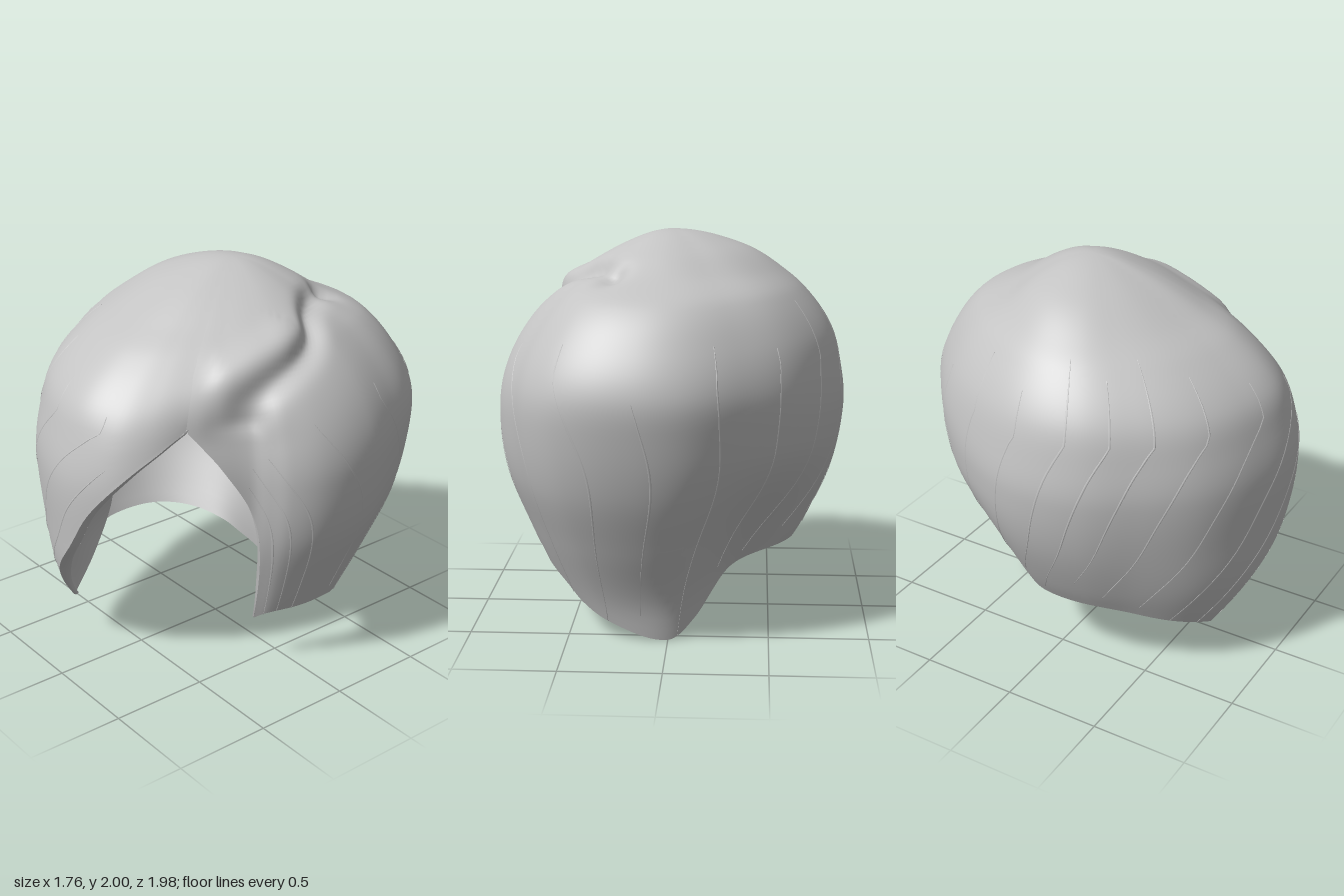
import * as THREE from 'three';

const { smoothstep, lerp } = THREE.MathUtils;

// Smooth 1D curve through [x, value] points (x ascending)
function curve(pts) {
  const slope = (i) => {
    const a = pts[Math.max(0, i - 1)], b = pts[Math.min(pts.length - 1, i + 1)];
    return (b[1] - a[1]) / (b[0] - a[0]);
  };
  return (x) => {
    if (x <= pts[0][0]) return pts[0][1];
    let i = 0;
    while (i < pts.length - 1 && x > pts[i + 1][0]) i++;
    if (i >= pts.length - 1) return pts[pts.length - 1][1];
    const h = pts[i + 1][0] - pts[i][0], t = (x - pts[i][0]) / h, t2 = t * t, t3 = t2 * t;
    return (2 * t3 - 3 * t2 + 1) * pts[i][1] + (t3 - 2 * t2 + t) * h * slope(i)
      + (3 * t2 - 2 * t3) * pts[i + 1][1] + (t3 - t2) * h * slope(i + 1);
  };
}
const bump = (s, w) => Math.exp(-((s / w) ** 2));

// Silhouette profiles: relative radius at each height
const levels = [2, 1.96, 1.9, 1.8, 1.7, 1.5, 1.3, 1.1, 0.8, 0.5, 0.2, 0];
const depth = (y) => Math.sqrt(Math.max(0, 2 - y));
const profile = (r) => curve(r.map((v, i) => [depth(levels[i]), v]));
const front = profile([0, 0.2, 0.34, 0.52, 0.69, 0.89, 0.965, 1, 0.985, 0.95, 0.84, 0.7]);
const left = profile([0, 0.2, 0.345, 0.53, 0.67, 0.86, 0.965, 1, 0.965, 0.84, 0.69, 0.55]);
const back = profile([0, 0.2, 0.33, 0.51, 0.735, 0.92, 1, 0.98, 0.9, 0.77, 0.63, 0.58]);
const right = profile([0, 0.28, 0.46, 0.63, 0.76, 0.92, 0.98, 1, 0.94, 0.8, 0.6, 0.5]);

// Widest radius by angle, from the left lock round the back to the front sweep
const sides = [[90, 0.86], [110, 0.91], [126, 0.94], [138, 1], [150, 1.03], [171, 1],
  [186, 0.965], [207, 0.88], [225, 0.85], [245, 0.84], [270, 0.875], [290, 0.885], [309, 0.88],
  [331, 0.92], [348, 0.95], [366, 0.985]];
const girth = curve([[40, 0.78], [55, 0.72], [66, 0.71], [72, 0.75], [78, 0.8], ...sides,
  [380, 0.96], [390, 0.89], [401, 0.78]]);
// The crown closes smoothly above the face opening
const crownGirth = curve([[30, 0.87], [41, 0.83], [55, 0.8], [72, 0.81], ...sides,
  [380, 0.935], [390, 0.88], [401, 0.83], [415, 0.8]]);

// Height of the lower hem by angle
const hem = curve([[70, 0.25], [78, 0.31], [95, 0.33], [110, 0.31], [130, 0.2], [151, 0.09],
  [180, 0], [195, 0.1], [209, 0.22], [225, 0.32], [250, 0.38], [290, 0.4], [305, 0.38],
  [320, 0.33], [342, 0.25]]);

// Angles of the two edges of the face opening by height
const lockEdge = curve([[0, 72], [0.25, 72], [0.7, 70], [0.95, 66], [1.2, 54], [1.34, 45],
  [1.41, 41], [2, 41]]);
const sweepEdge = curve([[0, 334], [0.26, 341], [0.5, 351], [0.75, 364], [1, 374], [1.22, 386],
  [1.35, 396], [1.41, 401], [2, 401]]);

// Parting line seen from above, swirl first
const parting = new THREE.CatmullRomCurve3([[0.26, -0.5], [0.3, -0.36], [0.41, -0.22],
  [0.54, -0.13], [0.59, 0], [0.59, 0.2], [0.56, 0.38], [0.5, 0.5]]
  .map(([x, z]) => new THREE.Vector3(x, 0, z))).getPoints(36);

// Height of the step at the parting: dips on the lock side, swells on the crown side
function partingOffset(x, y, z) {
  let best = Infinity, side = 0, along = 0;
  for (let i = 0; i < 36; i++) {
    const a = parting[i], dx = parting[i + 1].x - a.x, dz = parting[i + 1].z - a.z;
    const px = x - a.x, pz = z - a.z;
    const t = Math.min(1, Math.max(0, (px * dx + pz * dz) / (dx * dx + dz * dz)));
    const d = Math.hypot(px - dx * t, pz - dz * t);
    if (d < best) {
      best = d;
      side = Math.sign(dx * pz - dz * px) * d;
      along = (i + t) / 36;
    }
  }
  const tail = 1 - smoothstep(along, 0.8, 1);
  const swell = 0.03 * bump(side - 0.06, 0.08) * smoothstep(along, 0.3, 0.6) * tail;
  const dip = 0.05 * bump(side + 0.03, 0.05) * smoothstep(along, 0, 0.2) * tail;
  const swirl = 0.05 * bump(Math.hypot(x - 0.27, z + 0.48), 0.06);
  return smoothstep(y, 1.32, 1.45) * (swell - dip - swirl);
}

// Point on the hair: u runs round the head, v from crown to hem
function hairPoint(u, v, lift = 0, tuck = 0) {
  let y = 2 - 1.7 * v * v, angle = 0;
  for (let k = 0; k < 6; k++) {
    angle = lerp(lockEdge(y), sweepEdge(y), u);
    y = 2 - v * v * (2 - hem(angle));
  }
  const a = THREE.MathUtils.degToRad(angle), s = Math.sin(a), c = Math.cos(a), d = depth(y);
  const shape = c * c * (c > 0 ? front : back)(d) + s * s * (s > 0 ? left : right)(d);
  const open = 1 - smoothstep(y, 1.25, 1.43);
  const width = lerp(girth(angle), crownGirth(angle), smoothstep(y, 1.3, 1.6));
  // the nape is flattened towards the back right
  const nape = 1 - 0.24 * bump(angle - 225, 28) * (1 - smoothstep(y, 0.25, 1));
  const r = width * shape * nape + lift * Math.min(1, v * 3) - tuck * open;
  const p = new THREE.Vector3(s * r, y, c * r - 0.1 * (Math.max(0, y - 1.4) / 0.6) ** 2);
  const n = p.clone().sub(new THREE.Vector3(0, 1.1, 0)).normalize();
  return p.addScaledVector(n, partingOffset(p.x, p.y, p.z));
}

// Surface from a grid of points
function gridGeometry(rows, cols, pointAt) {
  const pos = [], index = [];
  for (let i = 0; i <= rows; i++) {
    for (let j = 0; j <= cols; j++) pos.push(...pointAt(i, j).toArray());
  }
  for (let i = 0; i < rows; i++) {
    for (let j = 0; j < cols; j++) {
      const a = i * (cols + 1) + j, b = a + cols + 1;
      index.push(a, b, a + 1, a + 1, b, b + 1);
    }
  }
  const g = new THREE.BufferGeometry();
  g.setAttribute('position', new THREE.Float32BufferAttribute(pos, 3));
  g.setIndex(index);
  g.computeVertexNormals();
  return g;
}

// Share normals at the crown point and where the two ends of the shell meet
function smoothSeam(g, rows, cols) {
  const p = g.attributes.position, n = g.attributes.normal;
  const at = (attr, k) => new THREE.Vector3().fromBufferAttribute(attr, k);
  for (let j = 0; j <= cols; j++) n.setXYZ(j, 0, 1, 0);
  for (let i = 1; i <= rows; i++) {
    const a = i * (cols + 1), b = a + cols;
    if (at(p, a).distanceTo(at(p, b)) > 0.002) break;
    const m = at(n, a).add(at(n, b)).normalize();
    n.setXYZ(a, m.x, m.y, m.z);
    n.setXYZ(b, m.x, m.y, m.z);
  }
  return g;
}

export function createModel() {
  const group = new THREE.Group();
  group.name = 'hair';
  const hair = new THREE.MeshStandardMaterial({ color: 0xc4c4c4, side: THREE.DoubleSide });
  hair.name = 'hairGrey';
  const add = (name, geometry) => {
    const mesh = new THREE.Mesh(geometry, hair);
    mesh.name = name;
    group.add(mesh);
  };

  // Main shell
  add('hairShell', smoothSeam(
    gridGeometry(72, 200, (i, j) => hairPoint(j / 200, i / 72)), 72, 200));

  // Rolled edges of the face opening, thinning towards the tips
  const edgeV = (i) => 0.58 + 0.42 * i / 40;
  const rollDepth = (v) => 0.07 * (1 - 0.6 * smoothstep(v, 0.9, 1));
  add('leftLockRoll', gridGeometry(40, 3, (i, j) =>
    hairPoint(0.004 * Math.sin((3 - j) * 1.05), edgeV(i), 0, rollDepth(edgeV(i)) * (3 - j) / 6)));
  add('frontSweepRoll', gridGeometry(40, 3, (i, j) =>
    hairPoint(1 + 0.003 * Math.sin(j * 1.05), edgeV(i), 0, rollDepth(edgeV(i)) * j / 3)));

  // Inner side of the front sweep, reaching back from its edge and narrowing to the tip
  const liningX = curve([[0.26, -0.25], [0.42, -0.28], [0.65, -0.31], [1, -0.18], [1.37, 0.08]]);
  const liningZ = curve([[0.26, 0.74], [0.42, 0.6], [0.65, 0.46], [1, 0.49], [1.37, 0.51]]);
  add('frontSweepLining', gridGeometry(40, 12, (i, j) => {
    const v = edgeV(i), t = j / 12, p = hairPoint(1, v, 0, rollDepth(v));
    const inner = new THREE.Vector3(liningX(p.y), p.y, liningZ(p.y));
    const bulge = 0.12 * Math.sin(Math.PI * t) * p.distanceTo(inner);
    return p.lerp(inner, t).add(new THREE.Vector3(-0.7 * bulge, 0, 0.7 * bulge));
  }));

  // Fine strands lying just above the shell: [u, start v, end v]
  const strands = [[0.015, 0.72, 1], [0.035, 0.68, 1], [0.06, 0.66, 1], [0.13, 0.6, 0.98],
    [0.22, 0.55, 1], [0.3, 0.5, 1], [0.36, 0.6, 0.97], [0.43, 0.5, 1], [0.5, 0.55, 0.96],
    [0.57, 0.45, 0.98], [0.63, 0.5, 0.96], [0.68, 0.4, 0.95], [0.72, 0.45, 0.98],
    [0.76, 0.4, 0.94], [0.81, 0.45, 0.97], [0.87, 0.5, 0.98], [0.93, 0.55, 1], [0.975, 0.66, 1]];
  strands.forEach(([u, v0, v1], k) => {
    add('strand' + (k + 1), gridGeometry(24, 2, (i, j) => {
      const t = i / 24, width = 0.0012 * Math.sin(Math.PI * (0.1 + 0.8 * t));
      return hairPoint(u + (j - 1) * width, lerp(v0, v1, t), j === 1 ? 0.004 : 0.001);
    }));
  });
  return group;
}
